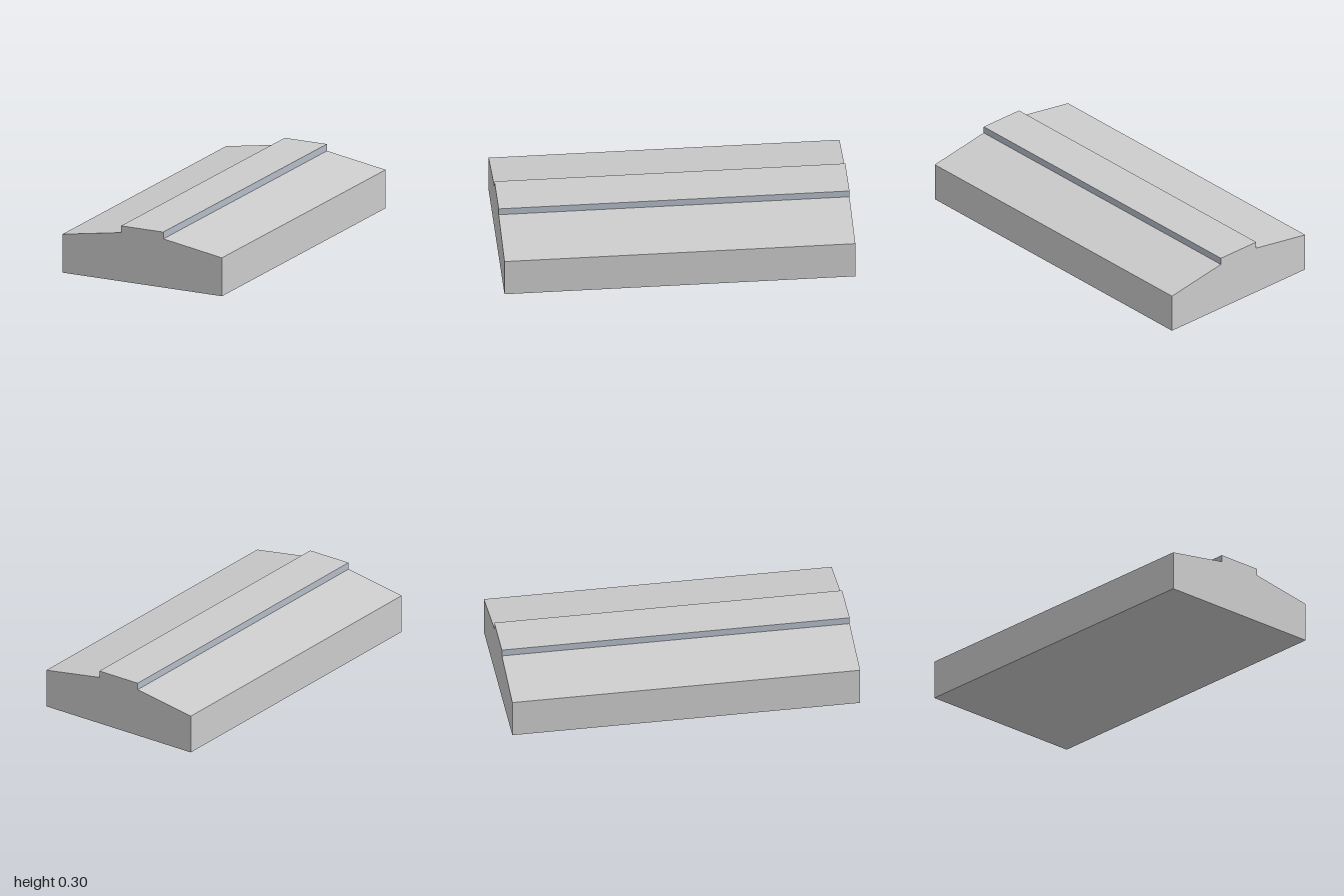
import * as THREE from 'three';

const LENGTH = 1.804, HALF_WIDTH = 0.4615, RIDGE_HALF = 0.122;
const EAVES = 0.205, RIDGE_BASE = 0.26, TOP = 0.296;

export function createModel() {
  const model = new THREE.Group();
  const grey = new THREE.MeshStandardMaterial({ color: 0xcccccc, flatShading: true });
  const glass = new THREE.MeshStandardMaterial({ color: 0xb4bcc8, flatShading: true });

  // Hall: walls, two shallow roof slopes and raised ridge in one cross-section
  const half = [[HALF_WIDTH, 0], [HALF_WIDTH, EAVES], [RIDGE_HALF, RIDGE_BASE], [RIDGE_HALF, TOP]];
  const mirrored = half.map(([x, y]) => [-x, y]).reverse();
  const profile = new THREE.Shape([...half, ...mirrored].map(([x, y]) => new THREE.Vector2(x, y)));
  const hallGeometry = new THREE.ExtrudeGeometry(profile, { depth: LENGTH, bevelEnabled: false });
  hallGeometry.translate(0, 0, -LENGTH / 2);
  const hall = new THREE.Mesh(hallGeometry, grey);
  hall.name = 'hall';
  model.add(hall);

  // Skylight bands along both sides of the raised ridge
  for (const side of [-1, 1]) {
    const band = new THREE.Mesh(new THREE.PlaneGeometry(LENGTH, TOP - RIDGE_BASE), glass);
    band.name = side > 0 ? 'skylightBandA' : 'skylightBandB';
    band.position.set(side * (RIDGE_HALF + 0.001), (TOP + RIDGE_BASE) / 2, 0);
    band.rotation.y = side * Math.PI / 2;
    model.add(band);
  }

  // The long axis runs diagonally across the ground
  const turned = new THREE.Group();
  turned.name = 'building';
  turned.add(...model.children.slice());
  turned.rotation.y = Math.atan2(1.445, -1.08);
  model.add(turned);
  return model;
}
